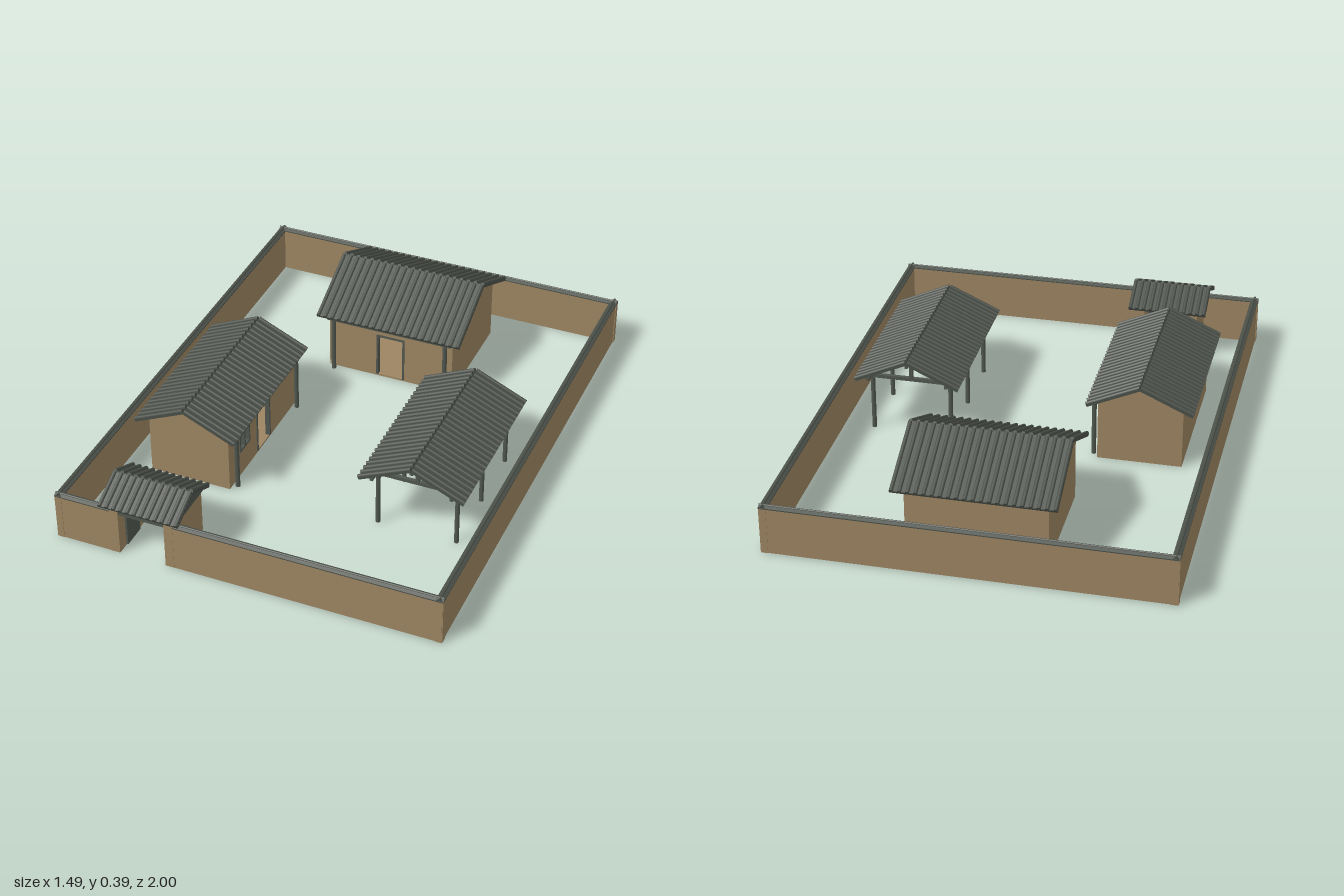
import * as THREE from 'three';

const mat = (name, color) => {
  const m = new THREE.MeshStandardMaterial({ color });
  m.name = name;
  return m;
};

export function createModel() {
  const earth = mat('earth wall', 0x9c8461);
  const tile = mat('roof tile', 0x4a4f48);
  const timber = mat('grey timber', 0x50574f);
  const root = new THREE.Group();

  const group = (name, parent, x = 0, z = 0, turn = 0) => {
    const g = new THREE.Group();
    g.name = name;
    g.position.set(x, 0, z);
    g.rotation.y = turn;
    parent.add(g);
    return g;
  };
  const add = (parent, name, geo, m, x = 0, y = 0, z = 0) => {
    const mesh = new THREE.Mesh(geo, m);
    mesh.name = name;
    mesh.position.set(x, y, z);
    parent.add(mesh);
    return mesh;
  };
  // Box given by its limits on each axis
  const box = (parent, name, m, x0, x1, y0, y1, z0, z1) =>
    add(parent, name, new THREE.BoxGeometry(x1 - x0, y1 - y0, z1 - z0), m,
      (x0 + x1) / 2, (y0 + y1) / 2, (z0 + z1) / 2);
  // Profile in (z, y) extruded along x from x0 to x1
  const prism = (parent, name, m, pts, x0, x1) => {
    const shape = new THREE.Shape(pts.map(([z, y]) => new THREE.Vector2(-z, y)));
    const geo = new THREE.ExtrudeGeometry(shape, { depth: x1 - x0, bevelEnabled: false });
    geo.rotateY(Math.PI / 2);
    return add(parent, name, geo, m, x0);
  };
  const post = (parent, x, z, h) =>
    add(parent, 'column', new THREE.CylinderGeometry(0.009, 0.009, h, 10), timber, x, h / 2, z);

  // Gabled roof with its ridge along x: two slabs with tile ribs
  const roof = (parent, len, half, eave, ridge, ribs) => {
    const rise = ridge - eave, slope = Math.hypot(half, rise);
    for (const s of [-1, 1]) {
      const side = group('roofSlope', parent);
      side.position.set(0, (eave + ridge) / 2, s * half / 2);
      side.rotation.x = s * Math.atan2(rise, half);
      add(side, 'roofSlab', new THREE.BoxGeometry(len, 0.01, slope), tile);
      const rib = new THREE.CylinderGeometry(0.0075, 0.0075, slope, 8);
      rib.rotateX(Math.PI / 2);
      for (let i = 0; i < ribs; i++) {
        add(side, 'tileRib', rib, tile, (i / (ribs - 1) - 0.5) * (len - 0.015), 0.006, 0);
      }
    }
  };

  // Walled house facing +z with a doorway, an optional window and a front colonnade
  const house = (parent, o) => {
    const { w, back, front, half, eave, ridge, cols, colZ, windowX } = o;
    const top = z => ridge - 0.006 - (ridge - eave) * Math.abs(z) / half;
    const t = 0.015, hw = w / 2;
    const gable = [[back, 0], [front, 0], [front, top(front)], [0, top(0)], [back, top(back)]];
    prism(parent, 'gableWall', earth, gable, -hw, -hw + t);
    prism(parent, 'gableWall', earth, gable, hw - t, hw);
    box(parent, 'backWall', earth, -hw + t, hw - t, 0, top(back), back, back + t);
    box(parent, 'floor', earth, -hw + t, hw - t, 0, 0.008, back + t, front - t);

    // Front wall with openings
    const rect = (Kind, x0, x1, y0, y1) => new Kind([[x0, y0], [x1, y0], [x1, y1], [x0, y1]]
      .map(p => new THREE.Vector2(...p)));
    const wall = rect(THREE.Shape, -hw + t, hw - t, 0, top(front));
    wall.holes.push(rect(THREE.Path, -0.055, 0.055, 0.008, 0.19));
    if (windowX !== undefined) {
      wall.holes.push(rect(THREE.Path, windowX - 0.04, windowX + 0.04, 0.11, 0.18));
    }
    add(parent, 'frontWall', new THREE.ExtrudeGeometry(wall, { depth: t, bevelEnabled: false }),
      earth, 0, 0, front - t);

    // Door and window frames
    const z0 = front - t, z1 = front + 0.004;
    for (const s of [-1, 1]) {
      box(parent, 'doorJamb', timber, s * 0.055 - 0.004, s * 0.055 + 0.004, 0.008, 0.194, z0, z1);
    }
    box(parent, 'doorLintel', timber, -0.059, 0.059, 0.188, 0.196, z0, z1);
    if (windowX !== undefined) {
      for (const d of [-0.04, 0, 0.04]) {
        box(parent, 'windowUpright', timber, windowX + d - 0.004, windowX + d + 0.004, 0.108, 0.182, z0, z1);
      }
      for (const y of [0.11, 0.18]) {
        box(parent, 'windowRail', timber, windowX - 0.044, windowX + 0.044, y - 0.004, y + 0.004, z0, z1);
      }
    }
    for (const x of cols) post(parent, x, colZ, top(colZ) - 0.004);
    box(parent, 'eaveBeam', timber, -hw, hw, top(colZ) - 0.018, top(colZ) - 0.004, colZ - 0.007, colZ + 0.007);
    roof(parent, o.len, half, eave, ridge, o.ribs);
  };

  house(group('mainHouse', root, 0, -0.62), {
    w: 0.52, back: -0.225, front: 0.23, half: 0.268, eave: 0.245, ridge: 0.373,
    cols: [-0.235, 0.235], colZ: 0.25, len: 0.6, ribs: 21,
  });
  house(group('sideHouse', root, -0.4475, 0.2, Math.PI / 2), {
    w: 0.6, back: -0.16, front: 0.163, half: 0.201, eave: 0.238, ridge: 0.329,
    cols: [-0.27, 0.27], colZ: 0.182, len: 0.67, ribs: 25, windowX: -0.165,
  });

  // Open pavilion, ridge running front to back
  const pav = group('pavilion', root, 0.4475, 0.2, Math.PI / 2);
  roof(pav, 0.67, 0.201, 0.238, 0.329, 25);
  for (const x of [-0.26, 0, 0.26]) {
    for (const s of [-1, 1]) {
      post(pav, x, s * 0.153, 0.25);
      const rafter = box(pav, 'rafter', timber, x - 0.007, x + 0.007, -0.006, 0.006, -0.105, 0.105);
      rafter.position.set(x, 0.273, s * 0.1);
      rafter.rotation.x = s * Math.atan2(0.091, 0.201);
    }
    box(pav, 'tieBeam', timber, x - 0.007, x + 0.007, 0.22, 0.234, -0.165, 0.165);
    box(pav, 'kingPost', timber, x - 0.007, x + 0.007, 0.234, 0.322, -0.007, 0.007);
  }
  for (const [z, y] of [[-0.153, 0.244], [0.153, 0.244], [0, 0.314]]) {
    box(pav, 'purlin', timber, -0.33, 0.33, y - 0.006, y + 0.006, z - 0.006, z + 0.006);
  }

  // Courtyard wall: each run is a slab with a small tiled cap
  const run = (name, x, z, len, turn) => {
    const g = group(name, root, x, z, turn);
    box(g, 'wallBody', earth, -len / 2, len / 2, 0, 0.183, -0.012, 0.012);
    prism(g, 'wallCap', tile, [[-0.015, 0.181], [0.015, 0.181], [0.015, 0.185], [0, 0.192], [-0.015, 0.185]],
      -len / 2, len / 2);
    const roll = new THREE.CylinderGeometry(0.004, 0.004, len, 8);
    roll.rotateZ(Math.PI / 2);
    add(g, 'capRidge', roll, tile, 0, 0.191, 0);
  };
  run('backCourtWall', 0, -0.985, 1.49, 0);
  run('leftCourtWall', 0.73, -0.0075, 1.983, Math.PI / 2);
  run('rightCourtWall', -0.73, -0.0075, 1.983, Math.PI / 2);
  run('frontCourtWallShort', -0.635, 0.97, 0.22, 0);
  run('frontCourtWallLong', 0.235, 0.97, 1.02, 0);

  // Gatehouse
  const gate = group('gatehouse', root, -0.4, 0.87);
  for (const s of [-1, 1]) {
    const c = s * 0.108;
    box(gate, 'gateSideWall', earth, c - 0.017, c + 0.017, 0, 0.205, -0.12, 0.113);
    box(gate, 'doorLeaf', timber, s * 0.087 - 0.004, s * 0.087 + 0.004, 0.005, 0.17, -0.03, 0.065);
  }
  box(gate, 'gateLintel', timber, -0.091, 0.091, 0.17, 0.206, 0.06, 0.108);
  prism(gate, 'gateGable', timber, [[-0.118, 0.204], [0.118, 0.204], [0, 0.264]], -0.145, 0.145);
  const gateRoof = group('gateRoof', gate, -0.002, 0);
  roof(gateRoof, 0.315, 0.128, 0.204, 0.266, 12);

  return root;
}
